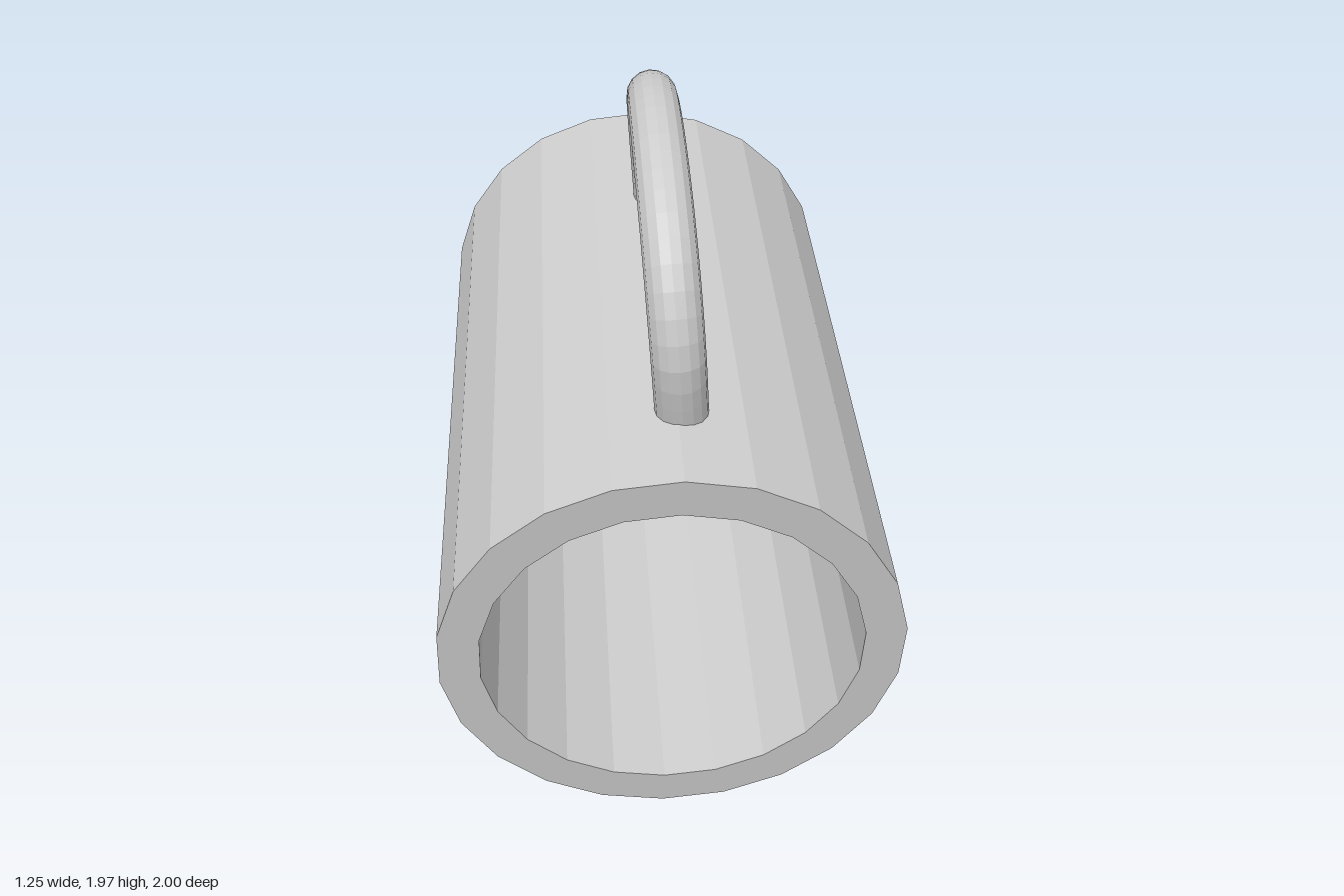
import * as THREE from 'three';

export function createModel() {
  const group = new THREE.Group();
  const material = new THREE.MeshStandardMaterial({
    color: 0xcccccc, flatShading: true, side: THREE.DoubleSide,
  });
  const deg = Math.PI / 180;

  // Hollow 22-sided cup, lying on its side with the open end forward and 10 degrees down
  const outer = 0.629, inner = 0.518, half = 0.906, floor = 0.05;
  const profile = [
    [0, -half], [outer, -half], [outer, half],
    [inner, half], [inner, -half + floor], [0, -half + floor],
  ].map(([x, y]) => new THREE.Vector2(x, y));
  const cup = new THREE.Mesh(new THREE.LatheGeometry(profile, 22, -1.6 * deg), material);
  cup.name = 'cup';
  cup.rotation.x = 100 * deg;
  cup.position.y = 0.78;
  group.add(cup);

  // Handle path as [z, y]; it leans slightly sideways with height above the wall
  const path = [
    [0.705, 1.23], [0.73, 1.31], [0.76, 1.47], [0.72, 1.625], [0.62, 1.75], [0.445, 1.85],
    [0.2, 1.9], [-0.01, 1.875], [-0.155, 1.8], [-0.25, 1.665], [-0.29, 1.5], [-0.28, 1.41],
  ].map(([z, y]) => {
    const height = y - (1.24 + (1 - z) * 0.176);
    return new THREE.Vector3(0.03 - 0.07 * height, y, z);
  });
  const handle = new THREE.Mesh(
    new THREE.TubeGeometry(new THREE.CatmullRomCurve3(path), 32, 0.07, 16), material);
  handle.name = 'handle';
  group.add(handle);

  return group;
}
